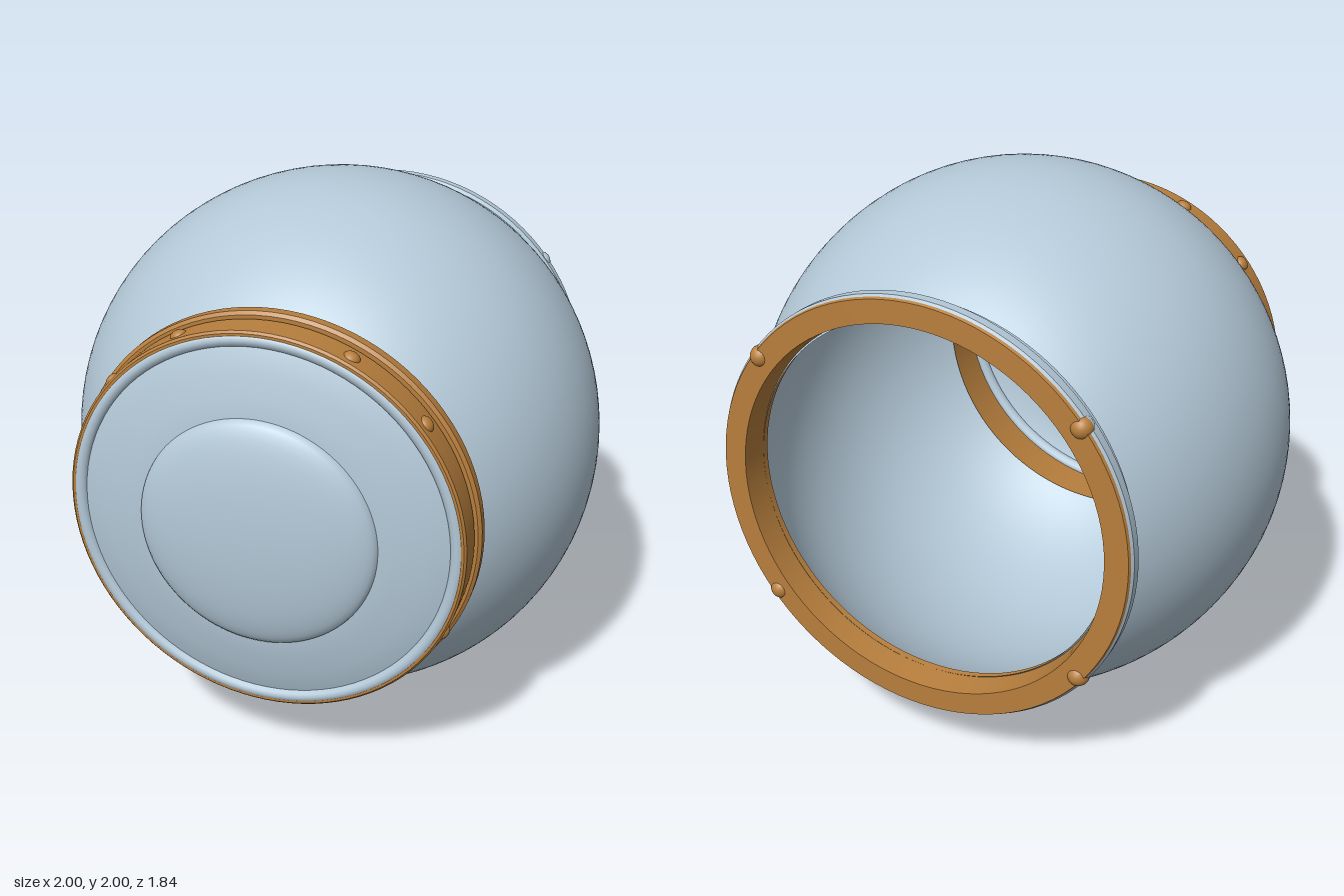
import * as THREE from 'three';
import { toCreasedNormals } from 'three/addons/utils/BufferGeometryUtils.js';

const blue = new THREE.MeshStandardMaterial({ color: 0xb4c9d8, side: THREE.DoubleSide });
blue.name = 'pale blue shell';
const brass = new THREE.MeshStandardMaterial({ color: 0xb87f3d, side: THREE.DoubleSide });
brass.name = 'brass';

export function createModel() {
  const model = new THREE.Group();
  model.name = 'helmet';
  // Everything turns about the z axis, so work around the origin and lift by 1
  const core = new THREE.Group();
  core.name = 'helmetParts';
  core.position.y = 1;
  model.add(core);

  function add(name, geometry, material) {
    const mesh = new THREE.Mesh(geometry, material);
    mesh.name = name;
    core.add(mesh);
    return mesh;
  }

  // Profile points are [radius, z]
  function turned(name, profile, material) {
    const points = profile.map(([r, z]) => new THREE.Vector2(r, z));
    const geometry = new THREE.LatheGeometry(points, 96).rotateX(Math.PI / 2);
    return add(name, toCreasedNormals(geometry, 0.5), material);
  }

  // Arc of the rounded shell between two z positions
  function shellArc(z0, z1, size, steps = 40) {
    const middle = -0.07;
    return Array.from({ length: steps + 1 }, (_, i) => {
      const z = z0 + (z1 - z0) * i / steps;
      const half = z > middle ? 0.97 : 1.06;
      return [size * Math.sqrt(1 - ((z - middle) / half) ** 2), z];
    });
  }

  // Hollow globe
  turned('globe', shellArc(-0.78, 0.63, 1), blue);
  turned('globeLining', shellArc(0.6, -0.82, 0.97), blue);

  // Neck and flange around the rear opening
  turned('neck', [[0.74, -0.85], [0.745, -0.835], [0.76, -0.82], [0.76, -0.79], [0.745, -0.775], [0.72, -0.77]], blue);
  turned('neckFlange', [[0.79, -0.9], [0.797, -0.89], [0.797, -0.855], [0.785, -0.842], [0.72, -0.842]], blue);
  turned('neckOpeningTrim', [[0.69, -0.79], [0.7, -0.91], [0.785, -0.91], [0.79, -0.9]], brass);

  // Front window frame: thin collar, wide band and inner sleeve
  turned('windowCollar', [[0.69, 0.61], [0.73, 0.61], [0.742, 0.62], [0.742, 0.655], [0.73, 0.665], [0.69, 0.665]], brass);
  turned('windowBand', [[0.69, 0.668], [0.715, 0.668], [0.72, 0.675], [0.72, 0.78], [0.712, 0.788], [0.69, 0.788]], brass);
  turned('windowSleeve', [[0.69, 0.78], [0.69, 0.58]], brass);

  // Rounded bead, sloping plate and central dome of the window
  const bead = add('windowBead', new THREE.TorusGeometry(0.687, 0.026, 12, 96), blue);
  bead.position.z = 0.768;
  turned('windowPlate', [[0.68, 0.77], [0.66, 0.78], [0.58, 0.80], [0.5, 0.82], [0.42, 0.832], [0.3, 0.835]], blue);
  const dome = Array.from({ length: 13 }, (_, i) => {
    const a = i / 12 * Math.PI / 2;
    return [0.43 * Math.cos(a), 0.828 + 0.087 * Math.sin(a)];
  });
  turned('windowDome', dome, blue);

  // Rivets around the window band, mirrored left and right
  for (const degrees of [65, 39, -27, -63]) {
    for (const side of [1, -1]) {
      const a = THREE.MathUtils.degToRad(degrees);
      const rivet = add('windowRivet', new THREE.SphereGeometry(0.03, 16, 12), brass);
      rivet.position.set(side * 0.715 * Math.cos(a), 0.715 * Math.sin(a), 0.73);
      rivet.rotation.z = side > 0 ? a : Math.PI - a;
      rivet.scale.x = 0.7;
    }
  }

  // Four rivets on the rear flange: brass behind, blue ahead
  for (const sx of [1, -1]) {
    for (const sy of [1, -1]) {
      const back = add('flangeRivetBack', new THREE.SphereGeometry(0.04, 16, 6, 0, Math.PI * 2, 0, Math.PI / 2), brass);
      const front = add('flangeRivetFront', new THREE.SphereGeometry(0.04, 16, 6, 0, Math.PI * 2, Math.PI / 2, Math.PI / 2), blue);
      for (const half of [back, front]) {
        half.position.set(sx * 0.605, sy * 0.47, -0.885);
        half.rotation.x = -Math.PI / 2;
      }
    }
  }
  return model;
}
